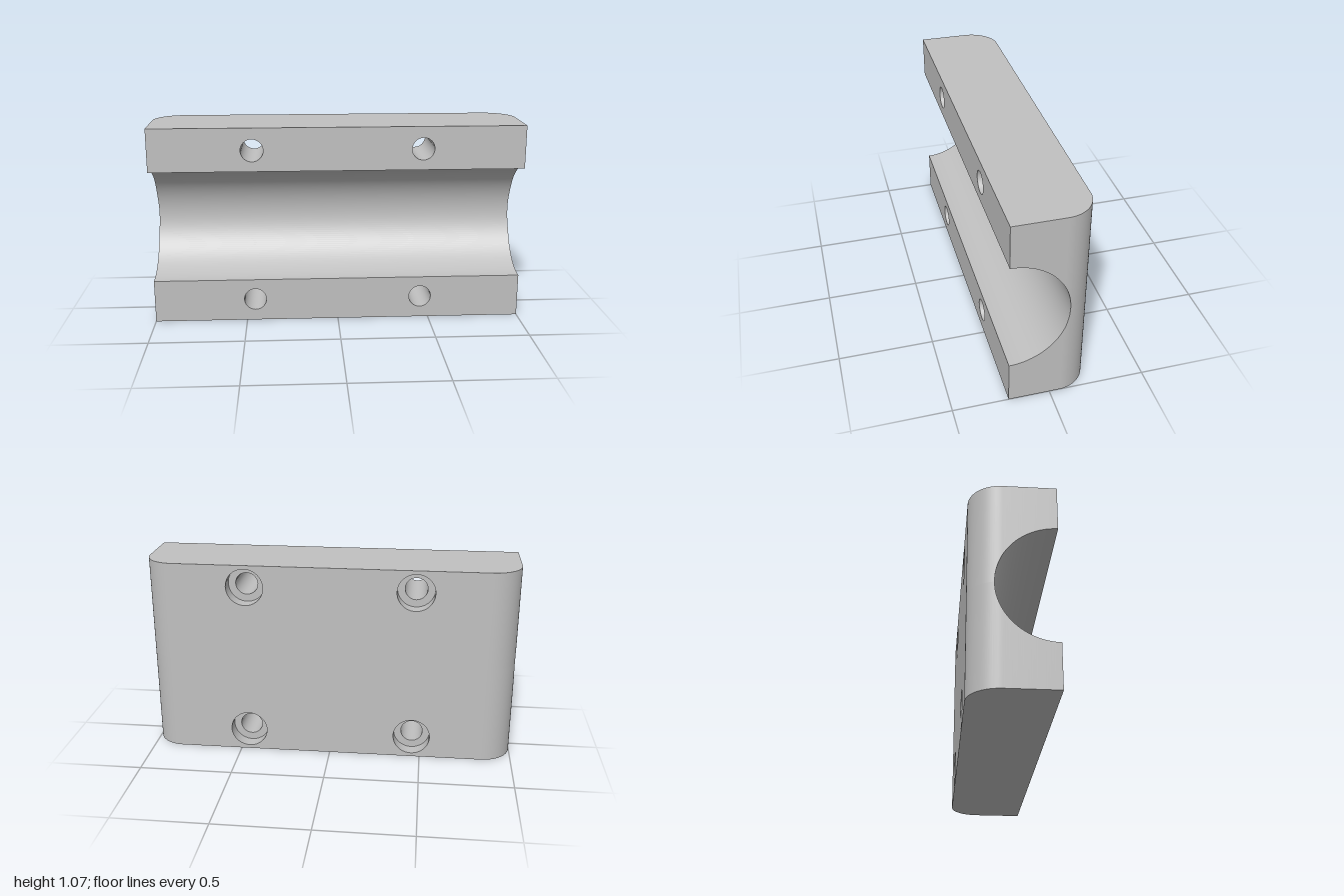
import * as THREE from 'three';

const H = 1.07, YC = H / 2;          // height and groove axis
const ZF = 0.2125, ZB = -0.2125;     // front and back planes
const GROOVE = 0.302, FILLET = 0.16; // radii
const BORE = 0.06, SINK = 0.1, SINK_DEPTH = 0.075;
const HOLE_X = 0.453, HOLE_Y = 0.12;
const STEPS = 40;

// Half width of the block at depth z, following the rounded back corners
function halfWidth(z) {
  const d = ZB + FILLET - z;
  return d <= 0 ? 1 : 1 - FILLET + Math.sqrt(Math.max(0, FILLET * FILLET - d * d));
}

// Smooth surface through rows of two points; faces along (column x row)
function strip(rows) {
  const pos = rows.flat(2), index = [];
  for (let i = 0; i < rows.length - 1; i++) {
    const a = 2 * i;
    index.push(a, a + 1, a + 2, a + 1, a + 3, a + 2);
  }
  const g = new THREE.BufferGeometry();
  g.setAttribute('position', new THREE.Float32BufferAttribute(pos, 3));
  g.setIndex(index);
  g.computeVertexNormals();
  return g;
}

// Rectangle in x and y with round holes
function plate(w, y0, y1, holes, r) {
  const s = new THREE.Shape();
  s.moveTo(-w, y0).lineTo(w, y0).lineTo(w, y1).lineTo(-w, y1).closePath();
  for (const [x, y] of holes) {
    s.holes.push(new THREE.Path().absarc(x, y, r, 0, Math.PI * 2, true));
  }
  return new THREE.ShapeGeometry(s, 24);
}

export function createModel() {
  const group = new THREE.Group();
  group.name = 'clampBlock';
  const metal = new THREE.MeshStandardMaterial({ color: 0xc0c0c0 });
  metal.name = 'grey metal';
  const add = (name, geometry) => {
    const mesh = new THREE.Mesh(geometry, metal);
    mesh.name = name;
    group.add(mesh);
    return mesh;
  };

  // Depth stations from the front plane, past the groove floor, round to the back
  const stations = [];
  for (let i = 0; i <= STEPS; i++) {
    const t = (i / STEPS) * Math.PI / 2;
    stations.push({ z: ZF - GROOVE * Math.sin(t), h: i === STEPS ? 0 : GROOVE * Math.cos(t) });
  }
  const a0 = Math.asin((ZB + FILLET - (ZF - GROOVE)) / FILLET);
  for (let i = 1; i <= 20; i++) {
    const a = a0 + (Math.PI / 2 - a0) * i / 20;
    stations.push({ z: ZB + FILLET - FILLET * Math.sin(a), h: 0 });
  }

  // End walls with rounded back corners, above and below the groove mouth
  for (const side of [1, -1]) {
    for (const upper of [true, false]) {
      const rows = stations.map(({ z, h }) => {
        const x = side * halfWidth(z);
        const low = [x, upper ? YC + h : 0, z];
        const high = [x, upper ? H : YC - h, z];
        return side > 0 ? [high, low] : [low, high];
      });
      add((side > 0 ? 'left' : 'right') + (upper ? 'Upper' : 'Lower') + 'End', strip(rows));
    }
  }

  // Half-round groove along x
  const groove = [];
  for (let i = -STEPS; i <= STEPS; i++) {
    const t = (i / STEPS) * Math.PI / 2;
    const z = ZF - GROOVE * Math.cos(t), y = YC + GROOVE * Math.sin(t);
    groove.push([[-halfWidth(z), y, z], [halfWidth(z), y, z]]);
  }
  add('groove', strip(groove));

  // Top and bottom faces
  const outline = (sign) => {
    const right = stations.map(({ z }) => new THREE.Vector2(halfWidth(z), sign * z));
    const left = right.map((p) => new THREE.Vector2(-p.x, p.y)).reverse();
    return new THREE.ShapeGeometry(new THREE.Shape([...right, ...left]));
  };
  add('top', outline(-1).rotateX(-Math.PI / 2).translate(0, H, 0));
  add('bottom', outline(1).rotateX(Math.PI / 2));

  // Front lands and back face, pierced by the bolt holes
  const lower = [[-HOLE_X, HOLE_Y], [HOLE_X, HOLE_Y]];
  const upper = lower.map(([x]) => [x, H - HOLE_Y]);
  add('lowerLand', plate(1, 0, YC - GROOVE, lower, BORE).translate(0, 0, ZF));
  add('upperLand', plate(1, YC + GROOVE, H, upper, BORE).translate(0, 0, ZF));
  add('back', plate(1 - FILLET, 0, H, [...lower, ...upper], SINK)
    .rotateY(Math.PI).translate(0, 0, ZB));

  // Counterbored bolt holes, open to the back
  const ledge = -ZB - SINK_DEPTH;
  const parts = {
    counterbore: [[SINK, -ZB], [SINK, ledge]],
    ledge: [[SINK, ledge], [BORE, ledge]],
    bore: [[BORE, ledge], [BORE, -ZF]],
  };
  for (const [name, profile] of Object.entries(parts)) {
    const points = profile.map(([r, d]) => new THREE.Vector2(r, d));
    const geometry = new THREE.LatheGeometry(points, 48).rotateX(-Math.PI / 2);
    for (const [x, y] of [...lower, ...upper]) add(name, geometry).position.set(x, y, 0);
  }
  return group;
}
